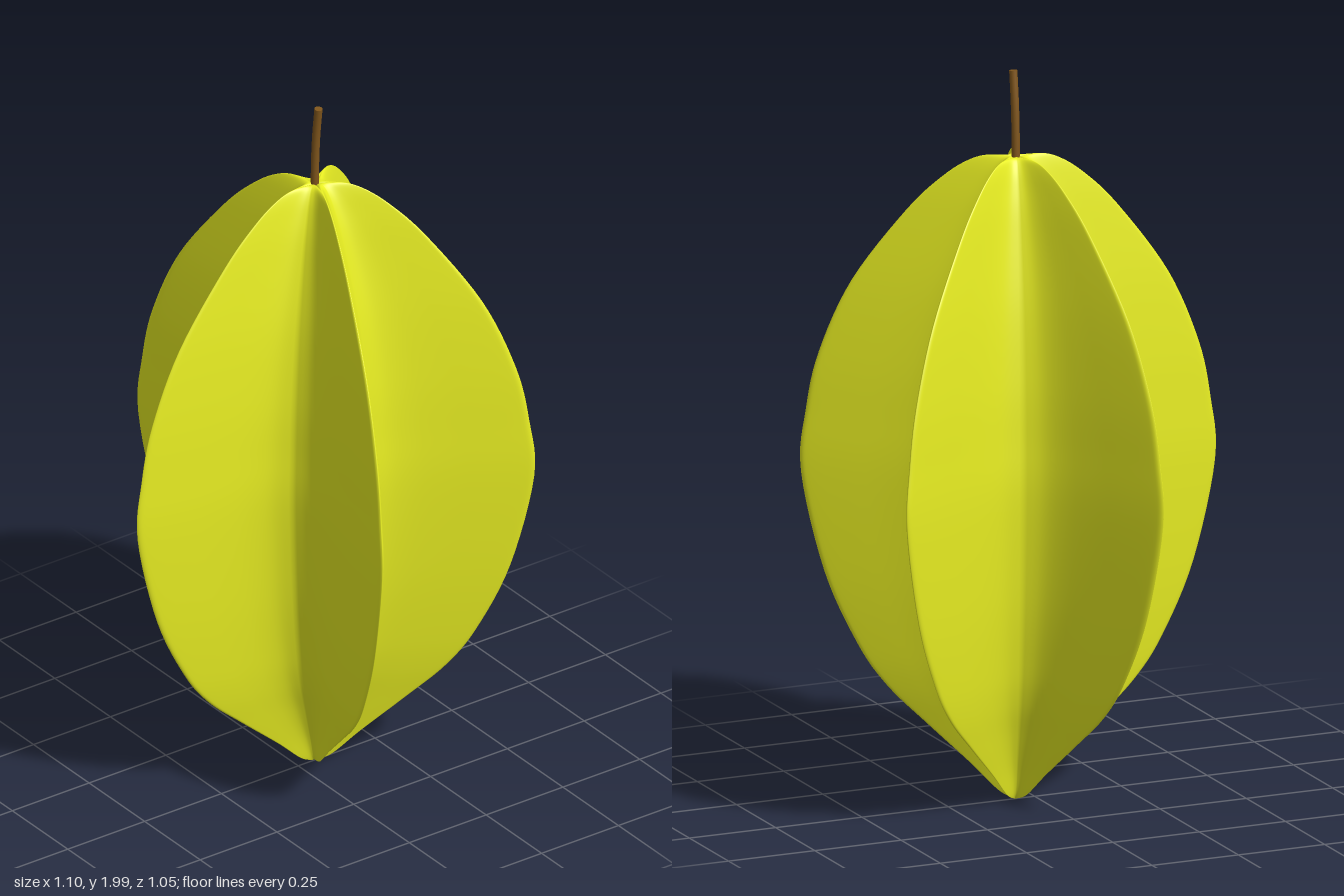
import * as THREE from 'three';
import { mergeVertices } from 'three/addons/utils/BufferGeometryUtils.js';

const RIBS = 5;
const RIB_RADIUS = 0.578;
const CENTER_Z = -0.055;

const spline = (points, n) =>
  new THREE.SplineCurve(points.map(([a, b]) => new THREE.Vector2(a, b))).getPoints(n);

// Half of one rib, from valley to ridge: [sideways, outward]
const HALF_RIB = [
  [0.11, 0.152], [0.078, 0.195], [0.057, 0.255], [0.041, 0.34],
  [0.025, 0.45], [0.011, 0.545], [0.006, 0.57], [0, 0.578],
];

// Ridge outline from bottom to top: [radius, height]
const OUTLINE = [
  [0, 0.005], [0.045, 0.025], [0.12, 0.095], [0.235, 0.195], [0.345, 0.295], [0.425, 0.405],
  [0.515, 0.6], [0.578, 0.87], [0.565, 1.04], [0.53, 1.2], [0.442, 1.4],
  [0.295, 1.6], [0.195, 1.7], [0.12, 1.75], [0.06, 1.765], [0, 1.757],
];

// Closed star cross-section, running from +z towards +x
function starSection() {
  const half = spline(HALF_RIB, 26);
  const rib = [
    ...half.map((p) => [-p.x, p.y]),
    ...half.slice(1, -1).reverse().map((p) => [p.x, p.y]),
  ];
  const section = [];
  for (let i = 0; i < RIBS; i++) {
    const a = (i * 2 * Math.PI) / RIBS;
    for (const [s, r] of rib) {
      section.push([s * Math.cos(a) + r * Math.sin(a), r * Math.cos(a) - s * Math.sin(a)]);
    }
  }
  return section;
}

// The star section scaled along the outline
function fruitGeometry() {
  const section = starSection();
  const rows = spline(OUTLINE, 90);
  const n = section.length;
  const positions = [];
  const index = [];
  rows.forEach(({ x: radius, y }, j) => {
    const k = Math.max(radius, 0) / RIB_RADIUS;
    section.forEach(([x, z], i) => {
      positions.push(x * k, y, z * k);
      if (j === rows.length - 1) return;
      const a = j * n + i;
      const b = j * n + ((i + 1) % n);
      if (j > 0) index.push(a, b, a + n);
      if (j < rows.length - 2) index.push(b, b + n, a + n);
    });
  });
  const geometry = new THREE.BufferGeometry();
  geometry.setAttribute('position', new THREE.Float32BufferAttribute(positions, 3));
  geometry.setIndex(index);
  const merged = mergeVertices(geometry, 1e-5);
  merged.computeVertexNormals();
  return merged;
}

export function createModel() {
  const model = new THREE.Group();
  model.name = 'starFruit';

  const fruit = new THREE.Mesh(fruitGeometry(), new THREE.MeshStandardMaterial({ color: 0xe8ee22 }));
  fruit.name = 'fruit';

  // Slightly bent stem with a flat cut end
  const path = new THREE.CatmullRomCurve3([
    new THREE.Vector3(-0.002, 1.74, 0),
    new THREE.Vector3(0, 1.83, 0),
    new THREE.Vector3(0.005, 1.91, 0),
    new THREE.Vector3(0.015, 1.995, 0),
  ]);
  const brown = new THREE.MeshStandardMaterial({ color: 0x80561c });
  const stem = new THREE.Group();
  stem.name = 'stem';
  const stalk = new THREE.Mesh(new THREE.TubeGeometry(path, 16, 0.011, 12), brown);
  stalk.name = 'stalk';
  const cut = new THREE.Mesh(new THREE.CircleGeometry(0.011, 12), brown);
  cut.name = 'stemEnd';
  cut.position.copy(path.getPoint(1));
  cut.quaternion.setFromUnitVectors(new THREE.Vector3(0, 0, 1), path.getTangent(1));
  stem.add(stalk, cut);

  model.add(fruit, stem);
  model.children.forEach((part) => { part.position.z = CENTER_Z; });
  return model;
}
